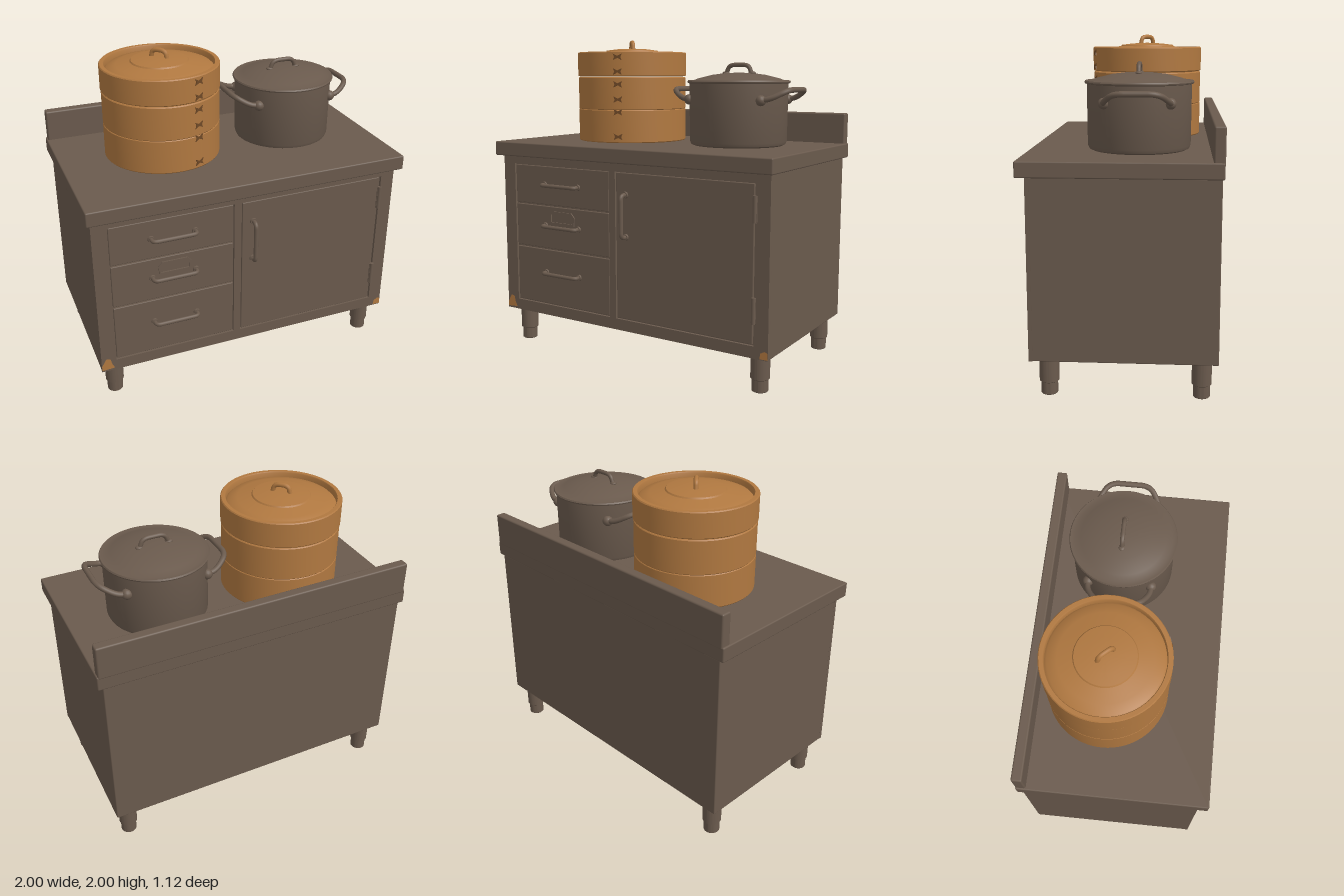
import * as THREE from 'three';
import { RoundedBoxGeometry } from 'three/addons/geometries/RoundedBoxGeometry.js';
import { toCreasedNormals } from 'three/addons/utils/BufferGeometryUtils.js';

const metal = new THREE.MeshStandardMaterial({ name: 'agedMetal', color: 0x6a5a4d });
const wood = new THREE.MeshStandardMaterial({ name: 'bamboo', color: 0xb07840 });
const dark = new THREE.MeshStandardMaterial({ name: 'darkBinding', color: 0x6e4826 });

function add(parent, name, geometry, material, x = 0, y = 0, z = 0) {
  const mesh = new THREE.Mesh(geometry, material);
  mesh.name = name;
  mesh.position.set(x, y, z);
  parent.add(mesh);
  return mesh;
}

// Box given by its minimum and maximum corners, with softened edges
function box(parent, name, material, [x0, y0, z0], [x1, y1, z1], r = 0.006) {
  const g = new RoundedBoxGeometry(x1 - x0, y1 - y0, z1 - z0, 2, r);
  return add(parent, name, g, material, (x0 + x1) / 2, (y0 + y1) / 2, (z0 + z1) / 2);
}

function lathe(parent, name, material, profile, x, y, z) {
  const g = new THREE.LatheGeometry(profile.map(p => new THREE.Vector2(...p)), 64);
  return add(parent, name, toCreasedNormals(g, 0.6), material, x, y, z);
}

// Round bar through points with softly rounded corners
function bar(parent, name, material, points, radius, corner = 0.03) {
  const p = points.map(q => new THREE.Vector3(...q));
  const path = new THREE.CurvePath();
  let last = p[0];
  for (let i = 1; i < p.length - 1; i++) {
    const cut = q => p[i].clone().add(q.clone().sub(p[i]).setLength(Math.min(corner, q.distanceTo(p[i]) * 0.45)));
    const a = cut(p[i - 1]), b = cut(p[i + 1]);
    path.add(new THREE.LineCurve3(last, a));
    path.add(new THREE.QuadraticBezierCurve3(a, p[i], b));
    last = b;
  }
  path.add(new THREE.LineCurve3(last, p[p.length - 1]));
  return add(parent, name, new THREE.TubeGeometry(path, 48, radius, 10), material);
}

function rectPath(Type, x0, y0, x1, y1) {
  return new Type([[x0, y0], [x1, y0], [x1, y1], [x0, y1]].map(p => new THREE.Vector2(...p)));
}

function buildCabinet() {
  const g = new THREE.Group();
  g.name = 'cabinet';
  box(g, 'carcass', metal, [-0.97, 0.22, -0.545], [0.965, 1.256, 0.488]);

  // Face frame with openings for drawers and door
  const frame = rectPath(THREE.Shape, -0.97, 0.22, 0.965, 1.256);
  frame.holes.push(rectPath(THREE.Path, -0.878, 0.29, -0.112, 1.203), rectPath(THREE.Path, -0.066, 0.29, 0.878, 1.203));
  add(g, 'faceFrame', new THREE.ExtrudeGeometry(frame, { depth: 0.022, bevelEnabled: false }), metal, 0, 0, 0.483);

  // Drawers with bar handles
  [[0.296, 0.655, 0.505], [0.667, 0.94, 0.815], [0.951, 1.197, 1.08]].forEach(([y0, y1, hy]) => {
    box(g, 'drawerFront', metal, [-0.872, y0, 0.47], [-0.118, y1, 0.5], 0.004);
    bar(g, 'drawerHandle', metal, [[-0.627, hy, 0.49], [-0.627, hy, 0.545], [-0.357, hy, 0.545], [-0.357, hy, 0.49]], 0.0125);
    for (const x of [-0.627, -0.357]) {
      add(g, 'handleFoot', new THREE.CylinderGeometry(0.018, 0.02, 0.012, 16).rotateX(Math.PI / 2), metal, x, hy, 0.505);
    }
  });

  // Label holder on the middle drawer
  const plate = new THREE.Shape([[-0.585, 0.83], [-0.39, 0.83], [-0.385, 0.885], [-0.41, 0.912], [-0.565, 0.912], [-0.59, 0.885]].map(p => new THREE.Vector2(...p)));
  plate.holes.push(rectPath(THREE.Path, -0.574, 0.842, -0.401, 0.892));
  add(g, 'labelHolder', new THREE.ExtrudeGeometry(plate, { depth: 0.009, bevelEnabled: false }), metal, 0, 0, 0.499);

  // Door, upright handle and hinges
  box(g, 'door', metal, [-0.06, 0.296, 0.47], [0.866, 1.197, 0.502], 0.004);
  bar(g, 'doorHandle', metal, [[0.01, 0.808, 0.49], [0.01, 0.808, 0.55], [0.01, 1.065, 0.55], [0.01, 1.065, 0.49]], 0.0135);
  for (const y of [0.808, 1.065]) {
    add(g, 'handleFoot', new THREE.CylinderGeometry(0.019, 0.021, 0.012, 16).rotateX(Math.PI / 2), metal, 0.01, y, 0.507);
  }
  for (const y of [0.492, 1.058]) {
    add(g, 'hinge', new THREE.CylinderGeometry(0.012, 0.012, 0.15, 14), metal, 0.873, y, 0.508);
    box(g, 'hingeLeaf', metal, [0.858, y - 0.073, 0.495], [0.888, y + 0.073, 0.508], 0.003);
  }

  // Worn patches on the lower corners
  [[[-0.969, 0.23], [-0.89, 0.235], [-0.905, 0.265], [-0.915, 0.305], [-0.94, 0.31], [-0.969, 0.262]],
    [[0.915, 0.225], [0.964, 0.225], [0.964, 0.265], [0.945, 0.272], [0.92, 0.258]]].forEach(points => {
    const s = new THREE.Shape(points.map(p => new THREE.Vector2(...p)));
    add(g, 'wornPatch', new THREE.ShapeGeometry(s), wood, 0, 0, 0.507);
  });

  // Worktop and upstand
  box(g, 'worktop', metal, [-1, 1.255, -0.555], [0.996, 1.345, 0.555], 0.008);
  box(g, 'upstand', metal, [-0.99, 1.33, -0.557], [0.988, 1.535, -0.495], 0.01);

  // Stepped round legs
  for (const x of [-0.875, 0.872]) {
    for (const z of [0.405, -0.455]) {
      lathe(g, 'leg', metal, [[0, 0], [0.044, 0], [0.048, 0.004], [0.048, 0.072], [0.056, 0.078], [0.056, 0.225]], x, 0, z);
    }
  }
  return g;
}

function buildSteamer() {
  const g = new THREE.Group();
  g.name = 'steamer';
  g.position.set(-0.355, 1.345, -0.09);

  // Stacked hoops: two baskets and the lid rim
  const hoop = (name, y0, y1, r) => lathe(g, name, wood,
    [[0, y0], [r - 0.005, y0], [r, y0 + 0.006], [r, y1 - 0.006], [r - 0.005, y1], [r - 0.028, y1], [r - 0.032, y1 - 0.006], [r - 0.032, y1 - 0.05], [0, y1 - 0.05]], 0, 0, 0);
  hoop('lowerBasket', 0, 0.21, 0.356);
  hoop('upperBasket', 0.207, 0.415, 0.356);
  hoop('lidRim', 0.42, 0.575, 0.36);

  // Domed lid with a raised centre disc
  lathe(g, 'lidDome', wood, [[0.332, 0.53], [0.315, 0.547], [0.26, 0.562], [0.176, 0.58], [0.17, 0.588], [0.1, 0.597], [0, 0.602]], 0, 0, 0);
  const handle = bar(g, 'lidHandle', wood, [[-0.055, 0.59, 0], [-0.042, 0.641, 0], [0.042, 0.641, 0], [0.055, 0.59, 0]], 0.014, 0.035);
  handle.rotation.y = -0.83;

  // Thin bow-shaped bindings at each hoop edge
  const bow = new THREE.Shape([[-0.028, -0.02], [0, -0.006], [0.028, -0.02], [0.02, 0], [0.028, 0.02], [0, 0.006], [-0.028, 0.02], [-0.02, 0]].map(p => new THREE.Vector2(...p)));
  const bowGeometry = new THREE.ExtrudeGeometry(bow, { depth: 0.006, bevelEnabled: false });
  const angle = 0.355;
  for (const y of [0.04, 0.195, 0.275, 0.37, 0.45, 0.54]) {
    const r = y > 0.42 ? 0.358 : 0.354;
    add(g, 'binding', bowGeometry, dark, Math.sin(angle) * r, y, Math.cos(angle) * r).rotation.y = angle;
  }
  return g;
}

function buildPot() {
  const g = new THREE.Group();
  g.name = 'cookingPot';
  g.position.set(0.455, 1.345, -0.08);
  lathe(g, 'potBody', metal, [[0, 0], [0.275, 0], [0.292, 0.008], [0.3, 0.028], [0.303, 0.38], [0, 0.38]], 0, 0, 0);
  lathe(g, 'potLid', metal, [[0.3, 0.376], [0.314, 0.38], [0.317, 0.388], [0.312, 0.396], [0.285, 0.394], [0.25, 0.408], [0.16, 0.43], [0.08, 0.44], [0, 0.443]], 0, 0, 0);

  // Lid handle with two feet
  bar(g, 'lidHandle', metal, [[-0.09, 0.43, 0], [-0.066, 0.49, 0], [0.066, 0.49, 0], [0.09, 0.43, 0]], 0.0135, 0.04);
  for (const x of [-0.09, 0.09]) add(g, 'lidHandleFoot', new THREE.SphereGeometry(0.024, 14, 8).scale(1, 0.45, 0.8), metal, x, 0.44, 0);

  // Mirrored side handles, rising outward
  for (const s of [-1, 1]) {
    bar(g, 'sideHandle', metal, [[s * 0.225, 0.28, 0.185], [s * 0.3, 0.288, 0.185], [s * 0.392, 0.342, 0.125], [s * 0.392, 0.342, -0.125], [s * 0.3, 0.288, -0.185], [s * 0.225, 0.28, -0.185]], 0.0165, 0.06);
    for (const z of [-0.185, 0.185]) {
      add(g, 'sideHandleFoot', new THREE.SphereGeometry(0.032, 14, 10), metal, s * 0.243, 0.28, z);
    }
  }
  return g;
}

export function createModel() {
  const model = new THREE.Group();
  model.name = 'kitchenCabinet';
  model.add(buildCabinet(), buildSteamer(), buildPot());
  return model;
}
